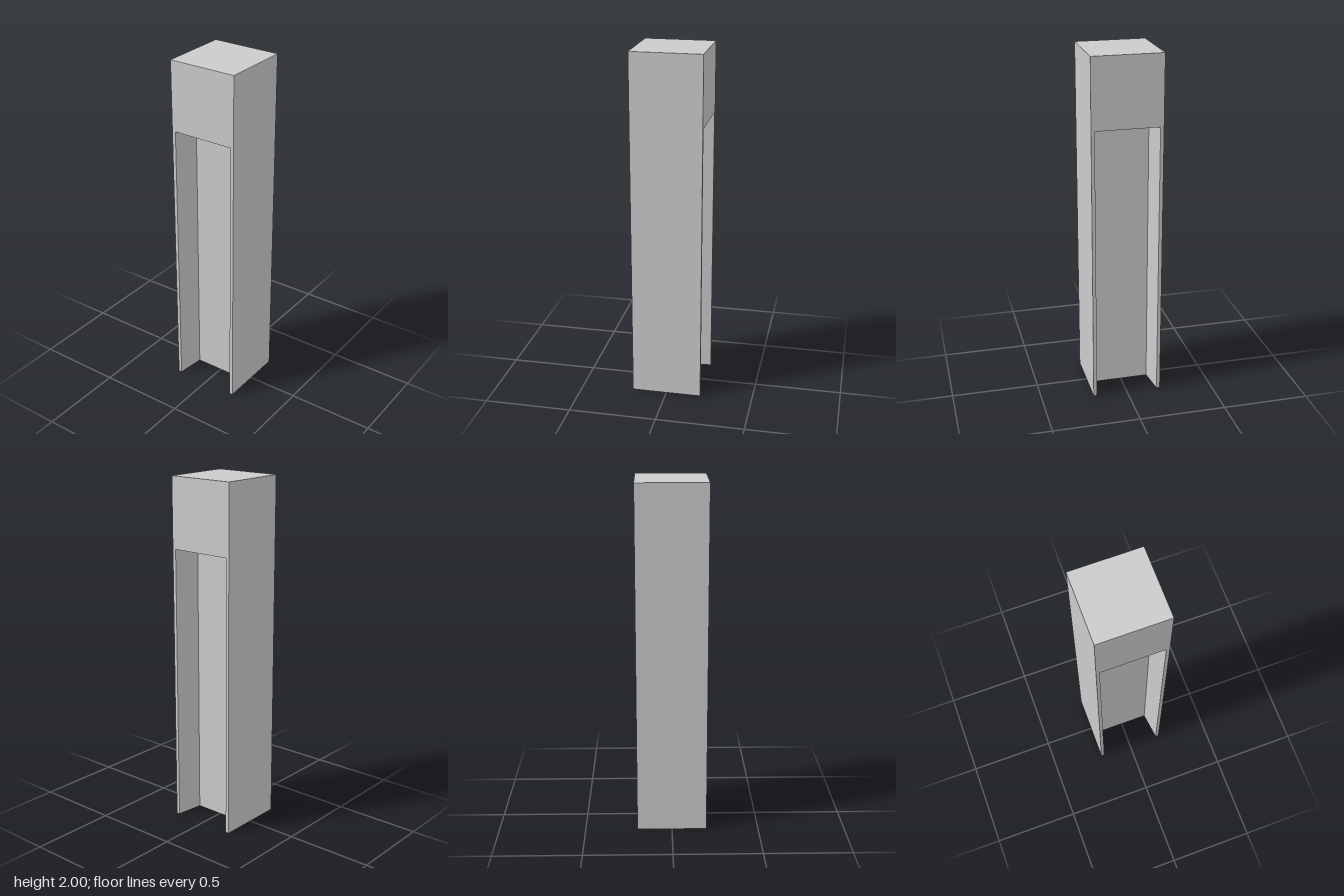
import * as THREE from 'three';

export function createModel() {
  const model = new THREE.Group();
  const material = new THREE.MeshStandardMaterial({ color: 0xcccccc, flatShading: true });

  const half = 0.2;         // half width of the post
  const shaftHeight = 1.6;
  const webHalf = 0.04;     // half thickness of the web
  const flangeTip = 0.18;   // inner flange face at the open edge
  const flangeRoot = 0.16;  // inner flange face at the web

  // Shaft: I-section with tapered flanges, open on the left and right sides
  const quarter = [[half, half], [half, flangeTip], [webHalf, flangeRoot]];
  const mirrored = [...quarter].reverse();
  const outline = [
    ...quarter,
    ...mirrored.map(([x, z]) => [x, -z]),
    ...quarter.map(([x, z]) => [-x, -z]),
    ...mirrored.map(([x, z]) => [-x, z]),
  ].map(([x, z]) => new THREE.Vector2(x, z));
  const shaftGeometry = new THREE.ExtrudeGeometry(new THREE.Shape(outline), {
    depth: shaftHeight,
    bevelEnabled: false,
  });
  shaftGeometry.rotateX(-Math.PI / 2);
  const shaft = new THREE.Mesh(shaftGeometry, material);
  shaft.name = 'shaft';
  model.add(shaft);

  // Solid square block on top of the shaft
  const headHeight = 2 - shaftHeight;
  const head = new THREE.Mesh(new THREE.BoxGeometry(2 * half, headHeight, 2 * half), material);
  head.name = 'head';
  head.position.y = shaftHeight + headHeight / 2;
  model.add(head);

  return model;
}
